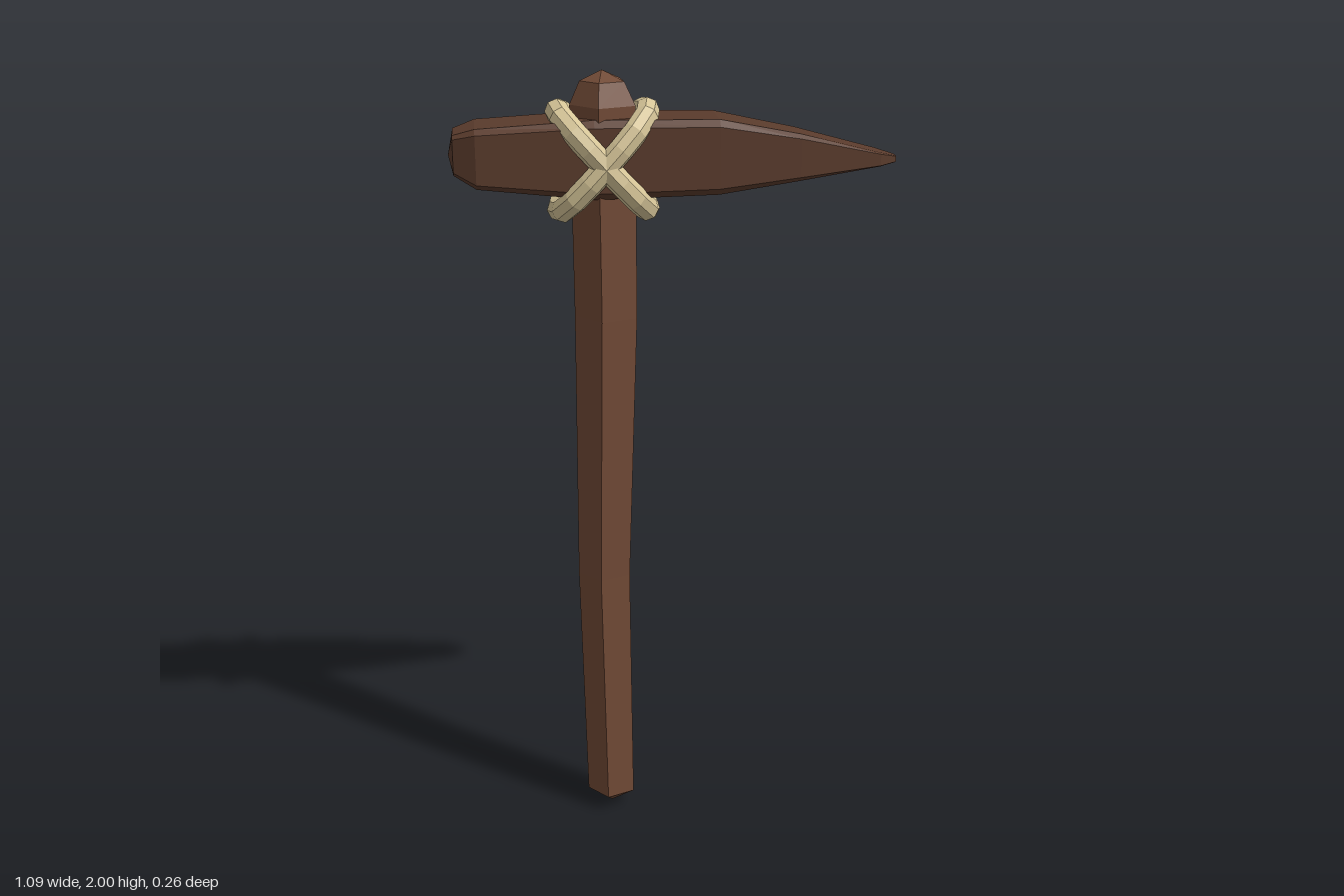
import * as THREE from 'three';

const material = (color) => new THREE.MeshStandardMaterial({ color, flatShading: true });

// Skin a list of equal-length point rings; a ring of coincident points closes an end.
function loft(rings) {
  const n = rings[0].length;
  const index = [];
  for (let i = 0; i < rings.length - 1; i++) {
    for (let j = 0; j < n; j++) {
      const a = i * n + j, b = i * n + (j + 1) % n;
      index.push(a, a + n, b, b, a + n, b + n);
    }
  }
  const geometry = new THREE.BufferGeometry().setFromPoints(rings.flat());
  geometry.setIndex(index);
  const flat = geometry.toNonIndexed();
  flat.computeVertexNormals();
  return flat;
}

function addMesh(group, name, geometry, mat) {
  const mesh = new THREE.Mesh(geometry, mat);
  mesh.name = name;
  group.add(mesh);
  return mesh;
}

// Five-sided, slightly crooked shaft: [y, centre x, radius]
function handleGeometry() {
  const stations = [
    [0, -0.175, 0], [0.045, -0.175, 0.066], [0.7, -0.184, 0.071],
    [1.4, -0.169, 0.082], [1.92, -0.17, 0.084], [1.975, -0.172, 0.057], [2, -0.175, 0],
  ];
  return loft(stations.map(([y, cx, r]) =>
    Array.from({ length: 5 }, (_, j) => {
      const a = Math.PI + (j * 2 * Math.PI) / 5 - 0.08;
      return new THREE.Vector3(cx + r * Math.cos(a), y, r * Math.sin(a));
    })));
}

// Chamfered rectangular head, blunt on one end and pointed on the other:
// [x, bottom y, top y, half depth]
function headGeometry() {
  const stations = [
    [-0.545, 1.805, 1.805, 0], [-0.533, 1.765, 1.86, 0.065], [-0.48, 1.735, 1.877, 0.092],
    [-0.2, 1.704, 1.893, 0.092], [0.1, 1.709, 1.889, 0.085], [0.3, 1.735, 1.848, 0.066],
    [0.5, 1.762, 1.796, 0.042], [0.543, 1.768, 1.784, 0.016], [0.543, 1.776, 1.776, 0],
  ];
  const corners = [
    [1, 0.82], [0.82, 1], [-0.82, 1], [-1, 0.82],
    [-1, -0.82], [-0.82, -1], [0.82, -1], [1, -0.82],
  ];
  return loft(stations.map(([x, y0, y1, d]) =>
    corners.map(([u, v]) =>
      new THREE.Vector3(x, (y0 + y1) / 2 + (v * (y1 - y0)) / 2, u * d))));
}

// Rounded-square loop of rope, lying diagonally across the joint
function ropeGeometry(side) {
  const soft = (v) => Math.sign(v) * Math.abs(v) ** 0.75;
  const points = Array.from({ length: 16 }, (_, i) => {
    const a = (i * Math.PI) / 8;
    const c = soft(Math.cos(a));
    return new THREE.Vector3(side * 0.108 * c, 0.118 * c, 0.102 * soft(Math.sin(a)));
  });
  const curve = new THREE.CatmullRomCurve3(points, true);
  return new THREE.TubeGeometry(curve, 16, 0.03, 8, true);
}

export function createModel() {
  const model = new THREE.Group();
  model.name = 'pickaxe';

  addMesh(model, 'handle', handleGeometry(), material(0x714a36));
  addMesh(model, 'pickHead', headGeometry(), material(0x5a3b2c));

  // Crossed lashing
  const rope = material(0xd6c598);
  const lashing = new THREE.Group();
  lashing.name = 'lashing';
  lashing.position.set(-0.175, 1.786, 0);
  addMesh(lashing, 'ropeLoopRising', ropeGeometry(1), rope);
  addMesh(lashing, 'ropeLoopFalling', ropeGeometry(-1), rope);
  model.add(lashing);

  return model;
}
